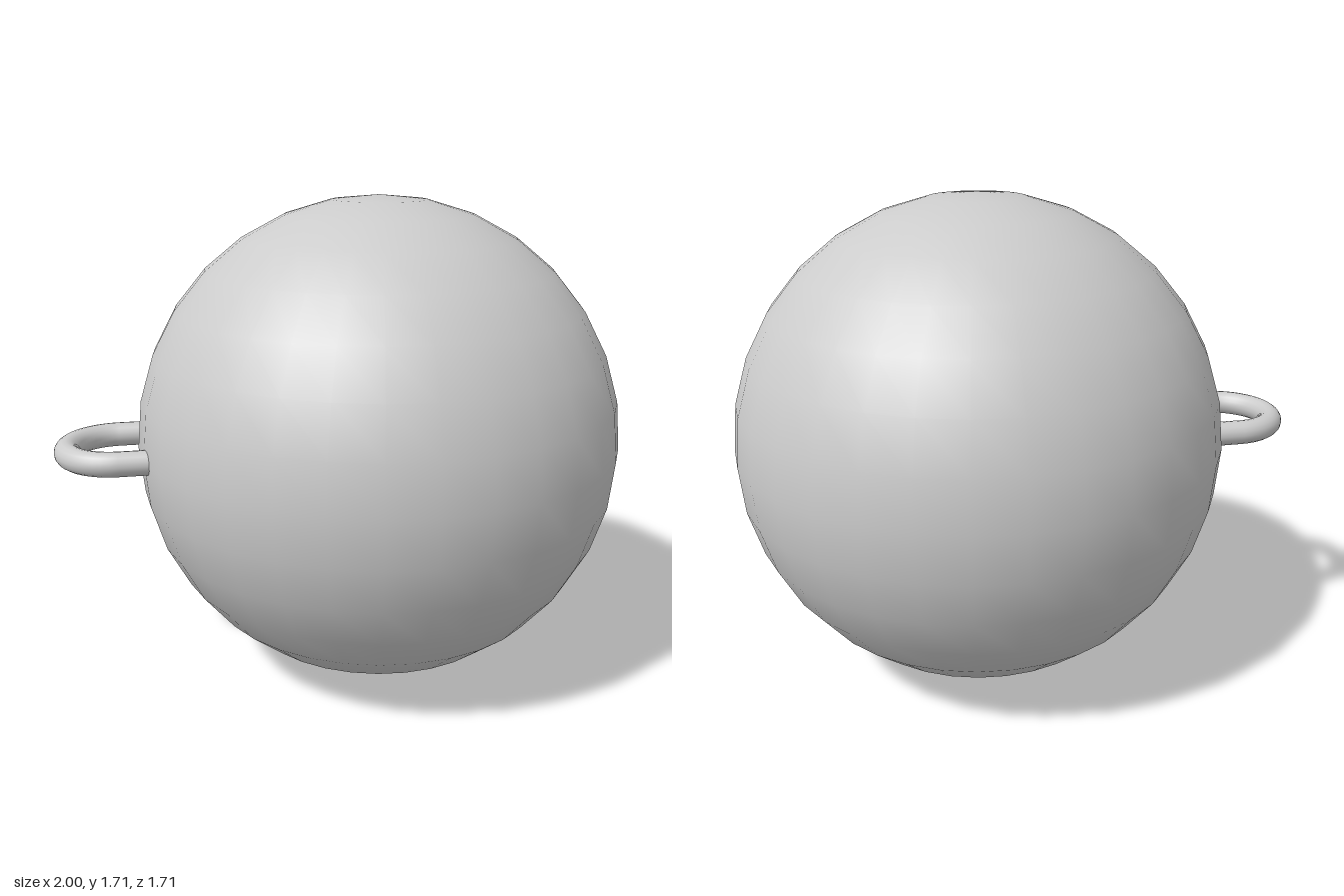
import * as THREE from 'three';

export function createModel() {
  const model = new THREE.Group();
  const material = new THREE.MeshStandardMaterial({ color: 0xcccccc });

  function add(name, geometry, x, z = 0) {
    const mesh = new THREE.Mesh(geometry, material);
    mesh.name = name;
    mesh.position.set(x, 0.856, z);
    model.add(mesh);
    return mesh;
  }

  // Ball
  add('ball', new THREE.SphereGeometry(0.856, 32, 16), 0.144);

  // U-shaped loop on the side: half ring plus two straight legs
  const ringRadius = 0.178, wire = 0.043, bendX = -0.779, legLength = 0.11;
  const bend = new THREE.TorusGeometry(ringRadius, wire, 16, 24, Math.PI);
  bend.rotateZ(Math.PI / 2).rotateX(Math.PI / 2);
  add('loopBend', bend, bendX);

  for (const side of [-1, 1]) {
    const leg = new THREE.CylinderGeometry(wire, wire, legLength, 16);
    leg.rotateZ(Math.PI / 2);
    add(side > 0 ? 'loopFrontLeg' : 'loopBackLeg', leg, bendX + legLength / 2, side * ringRadius);
  }

  return model;
}
